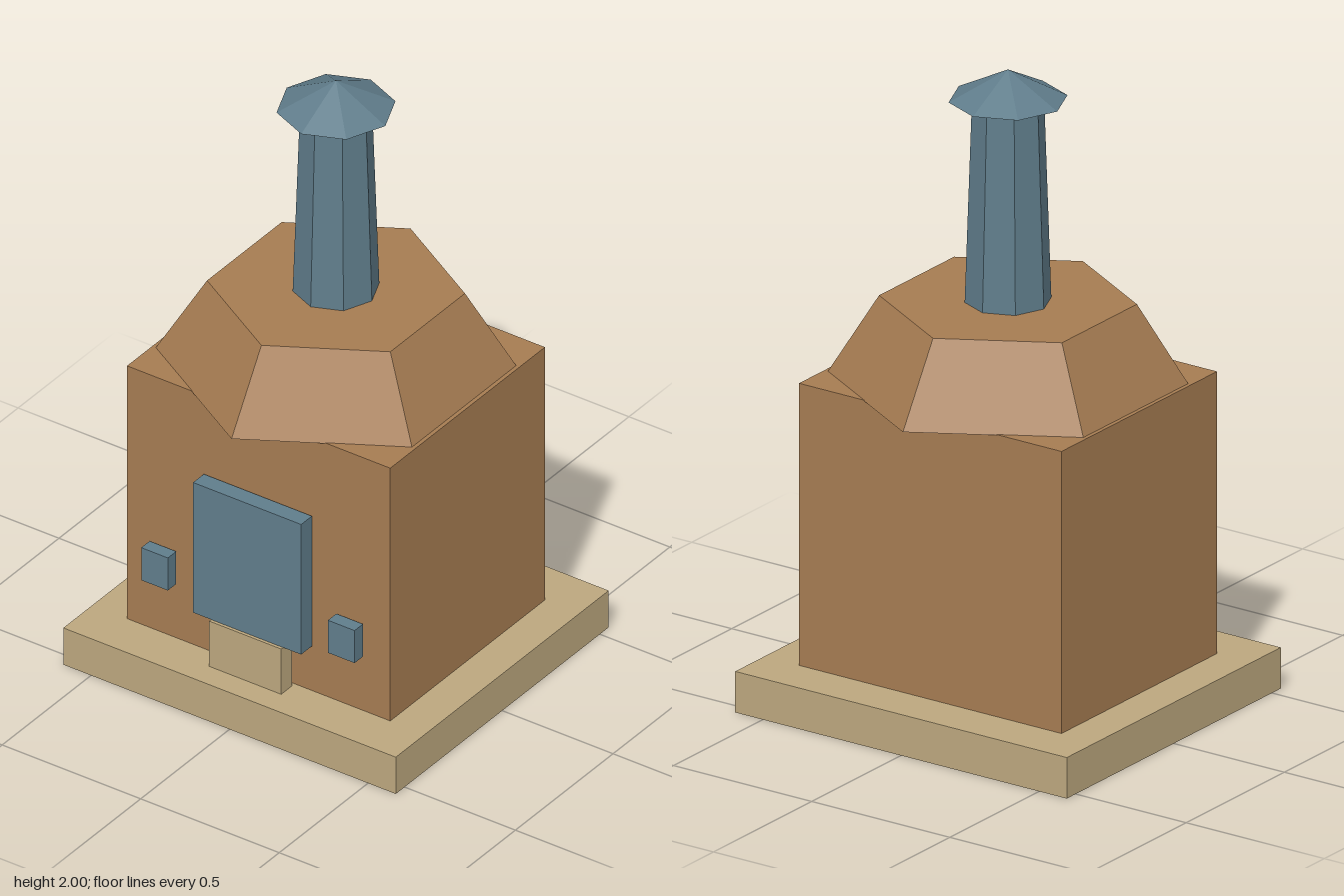
import * as THREE from 'three';

const material = (color) => new THREE.MeshStandardMaterial({ color, flatShading: true });

export function createModel() {
  const model = new THREE.Group();
  model.name = 'furnaceHouse';
  const clay = material(0xa67c52);
  const stone = material(0xbca77e);
  const metal = material(0x607d8b);

  const add = (name, geometry, mat, x, y, z) => {
    const mesh = new THREE.Mesh(geometry, mat);
    mesh.name = name;
    mesh.position.set(x, y, z);
    model.add(mesh);
  };
  // Box given by its width, y range and z range
  const box = (name, mat, x, width, y0, y1, z0, z1) =>
    add(name, new THREE.BoxGeometry(width, y1 - y0, z1 - z0), mat, x, (y0 + y1) / 2, (z0 + z1) / 2);
  // Tapered prism given by its two radii and y range
  const prism = (name, mat, sides, bottom, top, y0, y1) =>
    add(name, new THREE.CylinderGeometry(top, bottom, y1 - y0, sides), mat, 0, (y0 + y1) / 2, 0);

  // Plinth and body
  box('plinth', stone, 0, 1.2, 0, 0.13, -0.545, 0.545);
  box('body', clay, 0, 0.95, 0.13, 1.024, -0.396, 0.396);

  // Door, the step below it and a small panel on each side
  box('door', metal, 0, 0.39, 0.29, 0.75, 0.4, 0.455);
  box('step', stone, 0, 0.26, 0.13, 0.29, 0.41, 0.465);
  for (const side of [-1, 1]) {
    box(side > 0 ? 'leftPanel' : 'rightPanel', metal, side * 0.337, 0.096, 0.33, 0.445, 0.408, 0.451);
  }

  // Hexagonal hood, chimney and its cap
  prism('hood', clay, 6, 0.535, 0.382, 1.022, 1.27);
  prism('chimney', metal, 8, 0.13, 0.108, 1.26, 1.91);
  add('chimneyCap', new THREE.ConeGeometry(0.178, 0.093, 8), metal, 0, 1.9535, 0);

  return model;
}
